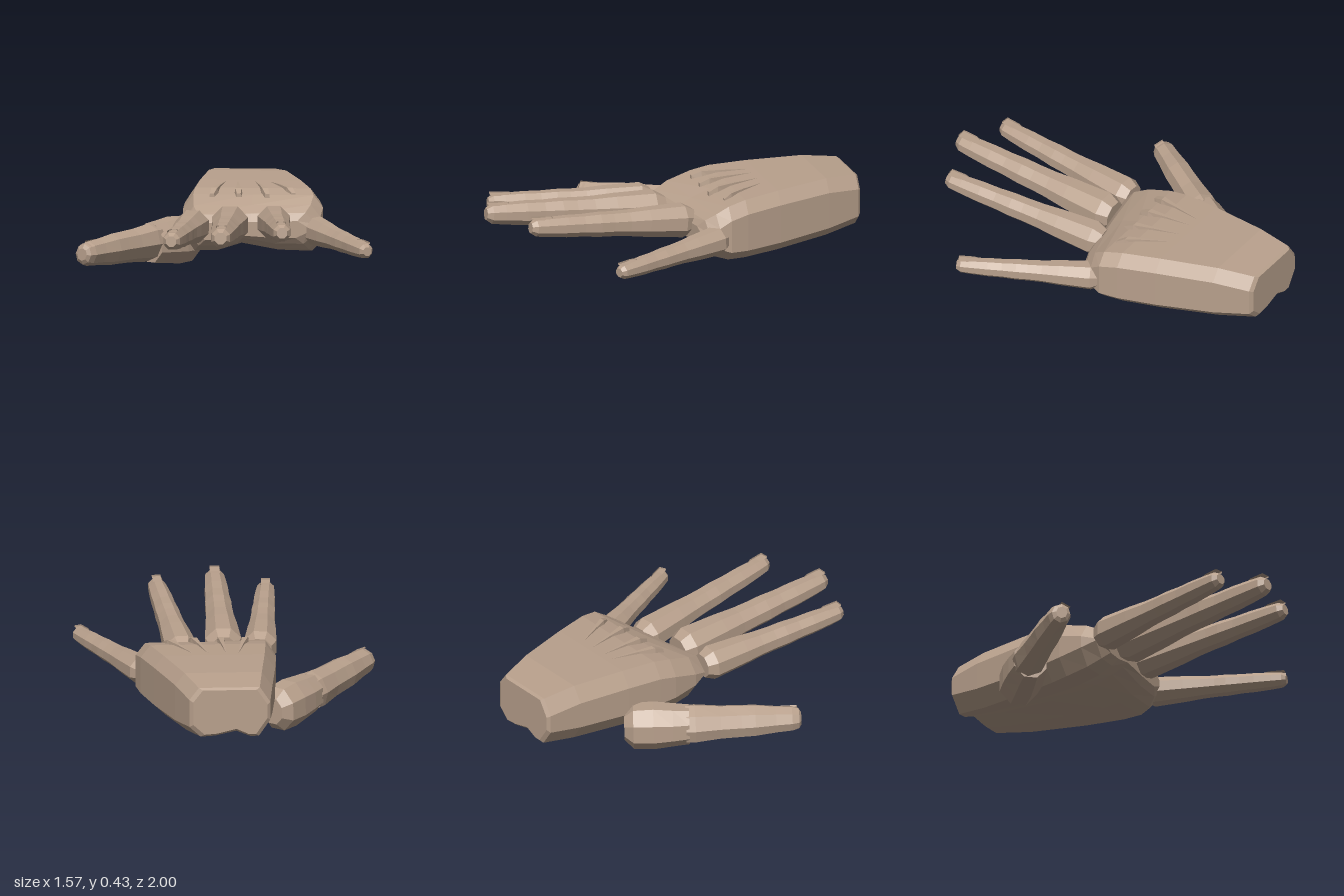
import * as THREE from 'three';

const skin = new THREE.MeshStandardMaterial({ color: 0xb8a08c });
skin.name = 'skin';

const V = (x, y, z) => new THREE.Vector3(x, y, z);

// Faceted skin over a series of rings, closed at both ends
function loft(name, rings) {
  const pos = [];
  const tri = (a, b, c) => pos.push(...a.toArray(), ...b.toArray(), ...c.toArray());
  const n = rings[0].length;
  for (let j = 0; j < rings.length - 1; j++) {
    for (let i = 0; i < n; i++) {
      const k = (i + 1) % n, a = rings[j], b = rings[j + 1];
      tri(a[i], a[k], b[k]);
      tri(a[i], b[k], b[i]);
    }
  }
  const cap = (ring, flip) => {
    const c = V(0, 0, 0);
    ring.forEach((p) => c.addScaledVector(p, 1 / n));
    for (let i = 0; i < n; i++) {
      const k = (i + 1) % n;
      if (flip) tri(c, ring[k], ring[i]); else tri(c, ring[i], ring[k]);
    }
  };
  cap(rings[0], true);
  cap(rings[rings.length - 1], false);
  const g = new THREE.BufferGeometry();
  g.setAttribute('position', new THREE.Float32BufferAttribute(pos, 3));
  g.computeVertexNormals();
  const mesh = new THREE.Mesh(g, skin);
  mesh.name = name;
  return mesh;
}

// Sideways, up and forward axes of a limb, rolled about its length
function frame(from, to, roll = 0) {
  const d = to.clone().sub(from).normalize();
  const u = V(0, 1, 0).cross(d).normalize().applyAxisAngle(d, roll);
  return { u, v: d.clone().cross(u), d };
}

// Eight-sided ring with a flat top
function octagon(c, f, rx, ry) {
  return Array.from({ length: 8 }, (_, i) => {
    const a = (i + 0.5) * Math.PI / 4, k = 1 / Math.cos(Math.PI / 8);
    return c.clone().addScaledVector(f.u, Math.cos(a) * rx * k).addScaledVector(f.v, Math.sin(a) * ry * k);
  });
}

// Thin nail plate with a rounded root, lying on the flat upper facet
function nail(f, tip, back, height, w, len) {
  const s = new THREE.Shape();
  s.moveTo(-w, 0);
  s.lineTo(w, 0);
  s.lineTo(w, len * 0.75);
  s.lineTo(w * 0.55, len);
  s.lineTo(-w * 0.55, len);
  s.lineTo(-w, len * 0.75);
  s.closePath();
  const g = new THREE.ExtrudeGeometry(s, { depth: 0.009, bevelEnabled: false });
  g.applyMatrix4(new THREE.Matrix4().makeBasis(f.u.clone().negate(), f.d.clone().negate(), f.v));
  const p = tip.clone().addScaledVector(f.d, -back).addScaledVector(f.v, height);
  g.translate(p.x, p.y, p.z);
  const mesh = new THREE.Mesh(g, skin);
  mesh.name = 'nail';
  return mesh;
}

// Position along the finger and its share of the base radius
const fingerProfile = [
  [0, 0.72], [0.06, 1], [0.28, 0.87], [0.4, 0.76], [0.5, 0.72], [0.58, 0.72],
  [0.68, 0.65], [0.78, 0.64], [0.9, 0.57], [0.97, 0.51], [1, 0.32],
];

function finger(name, from, to, r) {
  const group = new THREE.Group();
  group.name = name;
  const f = frame(from, to);
  group.add(loft(name + 'Shaft', fingerProfile.map(([t, k]) =>
    octagon(from.clone().lerp(to, t), f, r * k, r * k))));
  group.add(nail(f, to, 0.01, r * 0.54, r * 0.27, 0.11));
  return group;
}

// Palm cross-sections: left z, right z, low x, high x, bottom y, top y, arch height
const palmSections = [
  [-1, -1, -0.165, 0.225, 0.165, 0.41, 0.03],
  [-0.985, -0.985, -0.18, 0.245, 0.15, 0.42, 0.03],
  [-0.8, -0.8, -0.2, 0.31, 0.125, 0.44, 0.03],
  [-0.5, -0.5, -0.23, 0.405, 0.108, 0.435, 0.03],
  [-0.3, -0.3, -0.245, 0.465, 0.105, 0.425, 0.04],
  [-0.2, -0.2, -0.25, 0.487, 0.11, 0.405, 0.04],
  [-0.06, -0.14, -0.24, 0.475, 0.13, 0.365, 0.05],
  [0.02, -0.09, -0.215, 0.45, 0.165, 0.33, 0.04],
  [0.055, -0.06, -0.18, 0.41, 0.2, 0.29, 0.02],
];

function palm() {
  return loft('palm', palmSections.map(([zl, zr, xl, xr, yb, yt, arch]) => {
    const w = xr - xl, h = yt - yb, c = Math.min(0.055, h * 0.3);
    return [
      [xr, yb + c], [xr, yt - c * 1.2], [xr - 0.05, yt],
      [xl + w * 0.5, yt], [xl + 0.055, yt],
      [xl, yt - c * 1.5], [xl, yb + c * 1.6], [xl + 0.06, yb],
      [xl + w * 0.25, yb], [xl + w * 0.42, yb + arch], [xl + w * 0.68, yb + 0.005], [xr - 0.06, yb],
    ].map(([x, y]) => V(x, y, zl + (zr - zl) * (x - xl) / w));
  }));
}

// Raised tendon: a wedge widening toward the knuckle
function tendon(x0, x1, z0, z1) {
  const steps = [[0, 0.004, 0.434], [0.5, 0.014, 0.437], [0.82, 0.026, 0.437], [1, 0.018, 0.415]];
  return loft('tendon', steps.map(([t, w, y]) => {
    const x = x0 + (x1 - x0) * t, z = z0 + (z1 - z0) * t;
    return [V(x + w, y - 0.06, z), V(x + w * 0.6, y, z), V(x - w * 0.6, y, z), V(x - w, y - 0.06, z)];
  }));
}

function thumb() {
  const group = new THREE.Group();
  group.name = 'thumb';
  // Fleshy base running out from under the palm
  const a = V(-0.215, 0.125, -0.52), b = V(-0.425, 0.135, -0.25);
  const f = frame(a, b);
  group.add(loft('thumbBase', [
    [0, 0.06, 0.07], [0.14, 0.1, 0.115], [0.45, 0.105, 0.12], [0.75, 0.098, 0.108], [1, 0.086, 0.1],
  ].map(([t, rx, ry]) => octagon(a.clone().lerp(b, t), f, rx, ry))));
  // Outer two joints
  const c = V(-0.415, 0.14, -0.27), d = V(-0.755, 0.148, 0.235);
  const g = frame(c, d, -0.45);
  group.add(loft('thumbTip', [
    [0, 0.08, 0.095], [0.08, 0.083, 0.098], [0.3, 0.074, 0.085], [0.48, 0.07, 0.082],
    [0.6, 0.07, 0.08], [0.78, 0.06, 0.068], [0.92, 0.056, 0.062], [0.98, 0.046, 0.052], [1, 0.028, 0.032],
  ].map(([t, rx, ry]) => octagon(c.clone().lerp(d, t), g, rx, ry))));
  group.add(nail(g, d, 0.02, 0.058, 0.026, 0.12));
  return group;
}

export function createModel() {
  const hand = new THREE.Group();
  hand.name = 'hand';
  hand.add(palm());
  [[-0.04, -0.095], [0.025, 0.045], [0.12, 0.195]].forEach(([p, q]) => hand.add(tendon(p, q, -0.46, -0.17)));
  hand.add(tendon(0.205, 0.33, -0.45, -0.21));
  hand.add(
    finger('indexFinger', V(-0.178, 0.275, 0.03), V(-0.252, 0.325, 0.9), 0.085),
    finger('middleFinger', V(0.013, 0.285, 0.02), V(0.013, 0.36, 1), 0.095),
    finger('ringFinger', V(0.232, 0.285, -0.06), V(0.328, 0.368, 0.86), 0.085),
    finger('littleFinger', V(0.43, 0.23, -0.17), V(0.758, 0.22, 0.515), 0.072),
    thumb(),
  );
  return hand;
}
